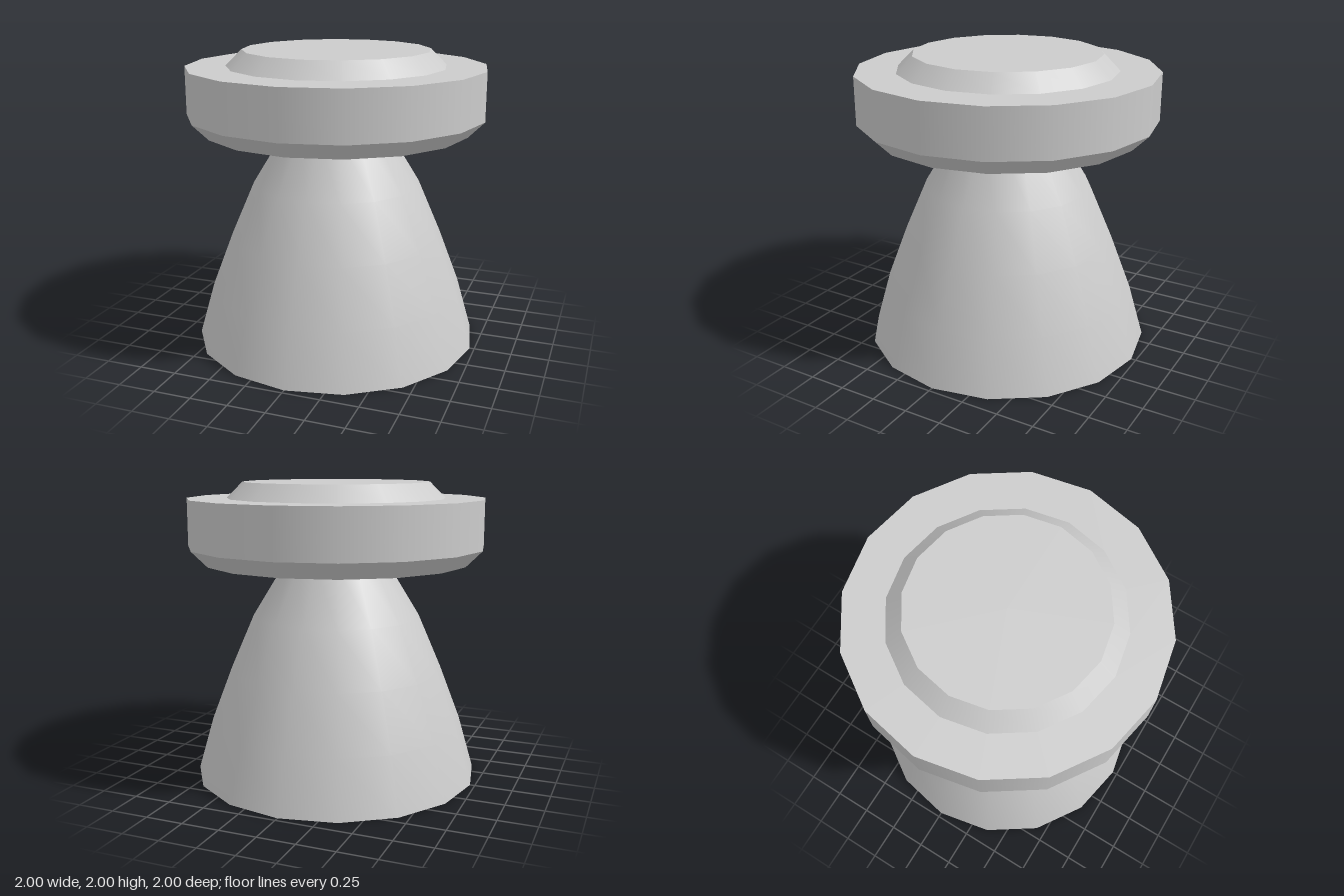
import * as THREE from 'three';
import { mergeGeometries } from 'three/addons/utils/BufferGeometryUtils.js';

const SIDES = 16;

// Each run of [radius, y] points is smooth; edges between runs stay sharp.
function turned(name, runs, material) {
  const parts = runs.map(run =>
    new THREE.LatheGeometry(run.map(([r, y]) => new THREE.Vector2(r, y)), SIDES));
  const mesh = new THREE.Mesh(mergeGeometries(parts), material);
  mesh.name = name;
  return mesh;
}

// Splits a profile so that every segment has its own hard edges.
const hardEdges = pts => pts.slice(1).map((p, i) => [pts[i], p]);

export function createModel() {
  const group = new THREE.Group();
  group.name = 'engineNozzle';
  const material = new THREE.MeshStandardMaterial({ color: 0xcccccc });

  // Bell: curved outer skin
  const outer = [[0.968, 0], [0.863, 0.365], [0.722, 0.735], [0.565, 1.1], [0.34, 1.468]];
  group.add(turned('bell', [outer], material));

  // Flat rim and the conical hollow rising from it to a point
  const lip = [0.918, 0];
  group.add(turned('bellRim', [[lip, outer[0]]], material));
  group.add(turned('bellHollow', [[[0, 0.9], lip]], material));

  // Mounting disc with a chamfered lower edge
  group.add(turned('mountingDisc', hardEdges([
    [0, 1.466], [0.892, 1.466], [1, 1.573], [1, 1.893], [0.732, 1.893],
  ]), material));

  // Raised bevelled cap on the disc
  group.add(turned('topCap', hardEdges([
    [0.732, 1.893], [0.625, 2], [0, 2],
  ]), material));

  return group;
}
